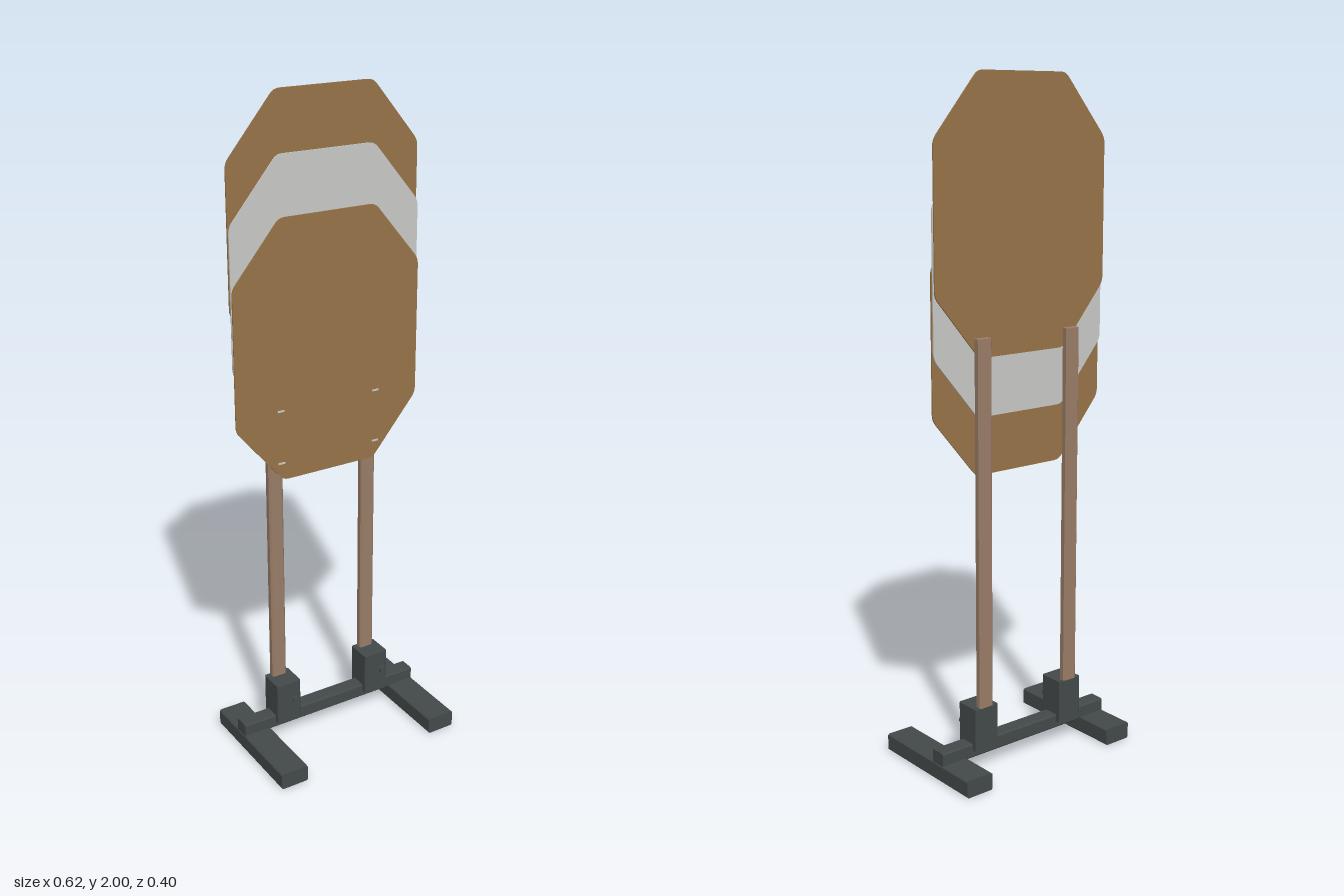
import * as THREE from 'three';

const mat = (name, color, extra = {}) => {
  const m = new THREE.MeshStandardMaterial({ color, ...extra });
  m.name = name;
  return m;
};

export function createModel() {
  const cardboard = mat('cardboard brown', 0x987549);
  const white = mat('pale grey', 0xcacbc8);
  const wood = mat('post wood', 0x9a7d68);
  const plastic = mat('dark plastic', 0x444a4a);

  const model = new THREE.Group();
  model.name = 'targetStand';

  const add = (name, geometry, material, x = 0, y = 0, z = 0) => {
    const mesh = new THREE.Mesh(geometry, material);
    mesh.name = name;
    mesh.position.set(x, y, z);
    model.add(mesh);
    return mesh;
  };

  // Box given by its limits, with a small chamfer on the four edges along `axis`
  const bar = (name, material, [x0, x1], [y0, y1], [z0, z1], axis, c = 0.004) => {
    const size = [x1 - x0, y1 - y0, z1 - z0];
    const [w, h, d] = axis === 'x' ? [size[2], size[1], size[0]]
      : axis === 'y' ? [size[0], size[2], size[1]] : size;
    const a = w / 2, b = h / 2;
    const shape = new THREE.Shape([
      [-a + c, -b], [a - c, -b], [a, -b + c], [a, b - c],
      [a - c, b], [-a + c, b], [-a, b - c], [-a, -b + c],
    ].map(([x, y]) => new THREE.Vector2(x, y)));
    const g = new THREE.ExtrudeGeometry(shape, { depth: d, bevelEnabled: false });
    g.translate(0, 0, -d / 2);
    if (axis === 'x') g.rotateY(Math.PI / 2);
    if (axis === 'y') g.rotateX(-Math.PI / 2);
    return add(name, g, material, (x0 + x1) / 2, (y0 + y1) / 2, (z0 + z1) / 2);
  };

  // Octagonal board with softened corners
  const corners = [
    [0.155, -0.388], [0.305, -0.208], [0.305, 0.208], [0.155, 0.388],
    [-0.155, 0.388], [-0.305, 0.208], [-0.305, -0.208], [-0.155, -0.388],
  ].map(([x, y]) => new THREE.Vector2(x, y));
  const outline = new THREE.Shape();
  corners.forEach((p, i) => {
    const toward = (q) => p.clone().add(q.clone().sub(p).setLength(0.018));
    const a = toward(corners[(i + 7) % 8]);
    const b = toward(corners[(i + 1) % 8]);
    if (i === 0) outline.moveTo(a.x, a.y); else outline.lineTo(a.x, a.y);
    outline.quadraticCurveTo(p.x, p.y, b.x, b.y);
  });
  outline.closePath();
  const boardGeo = new THREE.ExtrudeGeometry(outline, { depth: 0.004, bevelEnabled: false, curveSegments: 4 });
  add('frontBoard', boardGeo, cardboard, 0, 1.272, -0.043);
  add('middleBoard', boardGeo, white, 0, 1.442, -0.0515);
  add('rearBoard', boardGeo, cardboard, 0, 1.612, -0.06);

  // Base: two feet joined by a raised crossbar
  for (const s of [-1, 1]) {
    bar(s < 0 ? 'rightFoot' : 'leftFoot', plastic, [s * 0.267 - 0.045, s * 0.267 + 0.045], [0, 0.052], [-0.198, 0.198], 'z');
  }
  bar('crossbar', plastic, [-0.31, 0.31], [0.046, 0.09], [-0.08, -0.03], 'x');

  // Sockets, clamping knobs, posts and staples
  for (const x of [-0.161, 0.161]) {
    const side = x < 0 ? 'right' : 'left';
    bar(side + 'Socket', plastic, [x - 0.041, x + 0.041], [0.068, 0.2], [-0.097, -0.014], 'y');
    const knob = add(side + 'Knob', new THREE.CylinderGeometry(0.012, 0.012, 0.012, 16), plastic, x + 0.023, 0.138, -0.012);
    knob.rotation.x = Math.PI / 2;
    bar(side + 'Post', wood, [x - 0.024, x + 0.024], [0.09, 1.284], [-0.0965, -0.072], 'y', 0.005);
    for (const y of [0.938, 1.1]) {
      add(side + 'Staple', new THREE.BoxGeometry(0.022, 0.005, 0.003), white, x, y, -0.0378);
    }
  }
  return model;
}
